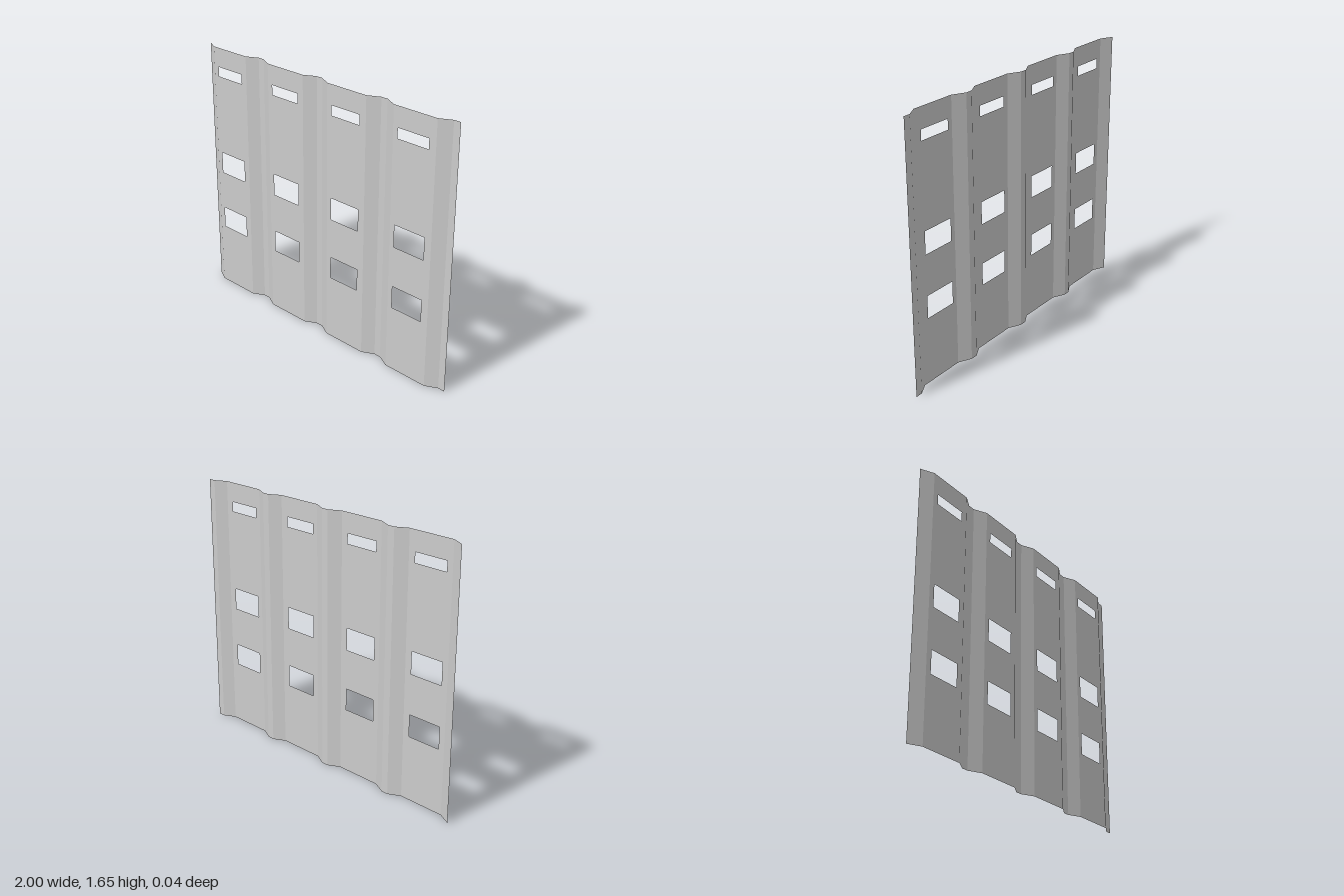
import * as THREE from 'three';

const HEIGHT = 1.655, DEPTH = 0.02, PITCH = 0.5;
const material = new THREE.MeshStandardMaterial({ color: 0xcccccc, side: THREE.DoubleSide, flatShading: true });

// Counter-clockwise rectangle used for panels and window holes
function rectangle(path, x0, y0, x1, y1) {
  return path.moveTo(x0, y0).lineTo(x1, y0).lineTo(x1, y1).lineTo(x0, y1).closePath();
}

// Upright strip of sheet between two points of the plan profile
function strip(name, x0, z0, x1, z1) {
  const geometry = new THREE.PlaneGeometry(1, HEIGHT);
  geometry.translate(0.5, HEIGHT / 2, 0);
  const p = geometry.attributes.position;
  for (let i = 0; i < p.count; i++) {
    const t = p.getX(i);
    p.setX(i, x0 + (x1 - x0) * t);
    p.setZ(i, z0 + (z1 - z0) * t);
  }
  geometry.computeVertexNormals();
  const mesh = new THREE.Mesh(geometry, material);
  mesh.name = name;
  return mesh;
}

// Flat front panel with three window openings
function windowPanel(x0, x1, holeCentre) {
  const shape = rectangle(new THREE.Shape(), x0, 0, x1, HEIGHT);
  for (const [y0, y1] of [[0.415, 0.555], [0.81, 0.95], [1.468, 1.53]]) {
    shape.holes.push(rectangle(new THREE.Path(), holeCentre - 0.109, y0, holeCentre + 0.109, y1));
  }
  const mesh = new THREE.Mesh(new THREE.ShapeGeometry(shape), material);
  mesh.position.z = DEPTH;
  mesh.name = 'windowPanel';
  return mesh;
}

export function createModel() {
  const sheet = new THREE.Group();
  sheet.name = 'corrugatedWall';

  // Each bay: slope forward, flat panel, slope back, recessed groove
  for (let i = 0; i < 4; i++) {
    const x = -1 + i * PITCH;
    const bay = new THREE.Group();
    bay.name = 'wallBay';
    bay.add(
      strip('forwardSlope', x, -DEPTH, x + 0.08, DEPTH),
      windowPanel(x + 0.08, x + 0.38, -0.773 + i * 0.4985),
      strip('backwardSlope', x + 0.38, DEPTH, x + 0.455, -DEPTH),
      strip('groove', x + 0.455, -DEPTH, x + PITCH, -DEPTH)
    );
    sheet.add(bay);
  }
  return sheet;
}
